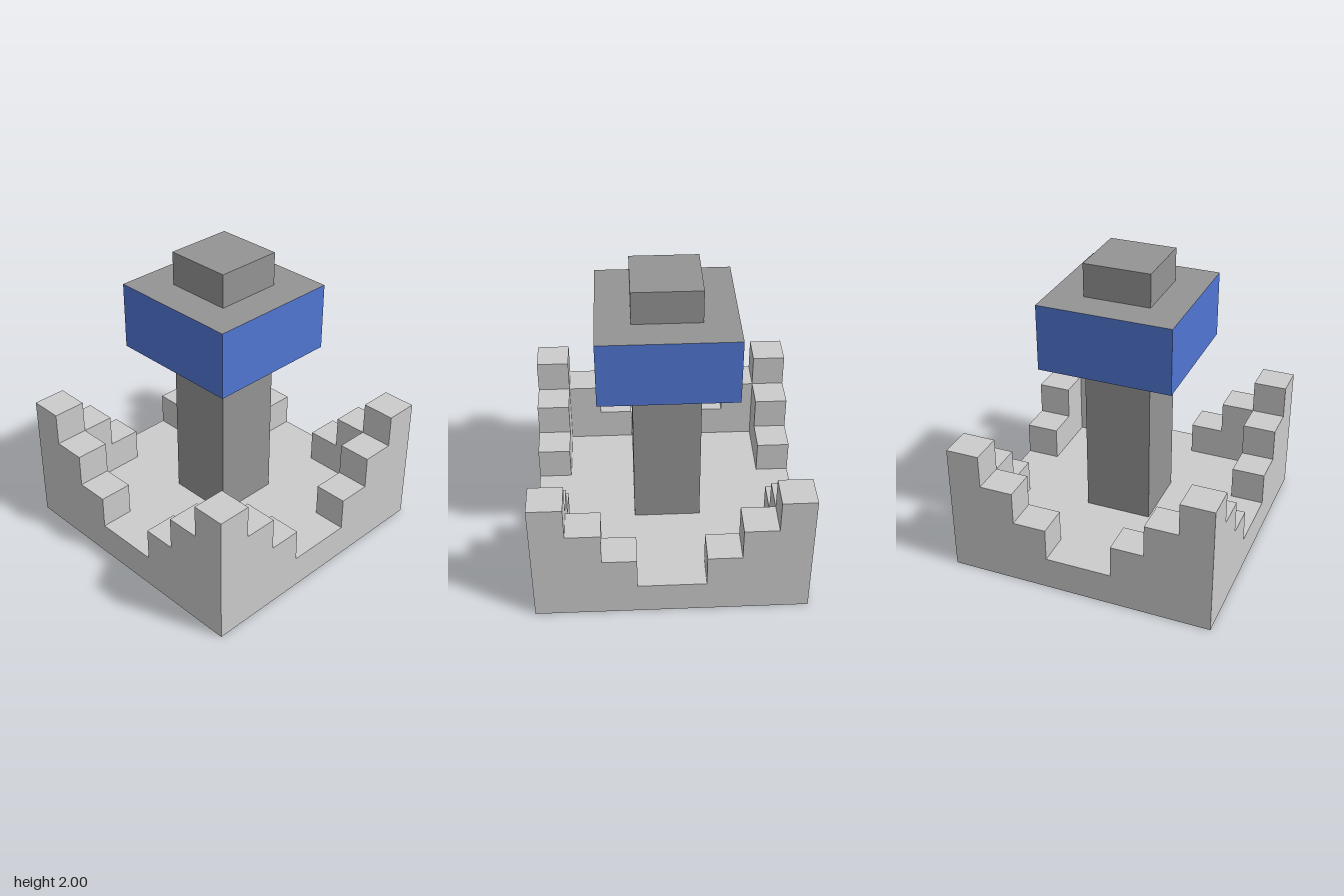
import * as THREE from 'three';

const U = 2 / 9; // one grid cell of the blocky design

const paint = (color) => new THREE.MeshStandardMaterial({ color, flatShading: true });

// Box given in cells, standing on height y
function block(name, w, h, d, y, material) {
  const mesh = new THREE.Mesh(new THREE.BoxGeometry(w * U, h * U, d * U), material);
  mesh.name = name;
  mesh.position.y = (y + h / 2) * U;
  return mesh;
}

// One-cell-thick wall, stepping down from both ends to one cell high in the middle
function steppedWall(half, material) {
  const right = [];
  for (let x = half; x > 1; x--) right.push([x, x], [x - 1, x]);
  right.push([1, 1]);
  const left = right.map(([x, y]) => [-x, y]).reverse();
  const outline = [[-half, 0], [half, 0], ...right, ...left];
  const shape = new THREE.Shape(outline.map(([x, y]) => new THREE.Vector2(x * U, y * U)));
  const geometry = new THREE.ExtrudeGeometry(shape, { depth: U, bevelEnabled: false });
  geometry.translate(0, 0, -U / 2);
  return new THREE.Mesh(geometry, material);
}

export function createModel() {
  const model = new THREE.Group();
  const stone = paint(0xcccccc);
  const dark = paint(0x949494);
  const blue = paint(0x5075d2);

  // Courtyard floor between the walls
  model.add(block('floor', 6, 1, 6, 0, stone));

  // Front and back walls carry the corner posts; side walls fit between them
  for (const s of [1, -1]) {
    const endWall = steppedWall(4, stone);
    endWall.name = s > 0 ? 'frontWall' : 'backWall';
    endWall.position.z = s * 3.5 * U;

    const sideWall = steppedWall(3, stone);
    sideWall.name = s > 0 ? 'leftWall' : 'rightWall';
    sideWall.rotation.y = Math.PI / 2;
    sideWall.position.x = s * 3.5 * U;
    model.add(endWall, sideWall);
  }

  // Central column with a wide head: blue sides, dark top and underside
  model.add(block('column', 2, 8, 2, 1, dark));
  model.add(block('columnHead', 4, 2, 4, 6, [blue, blue, dark, dark, blue, blue]));

  return model;
}
